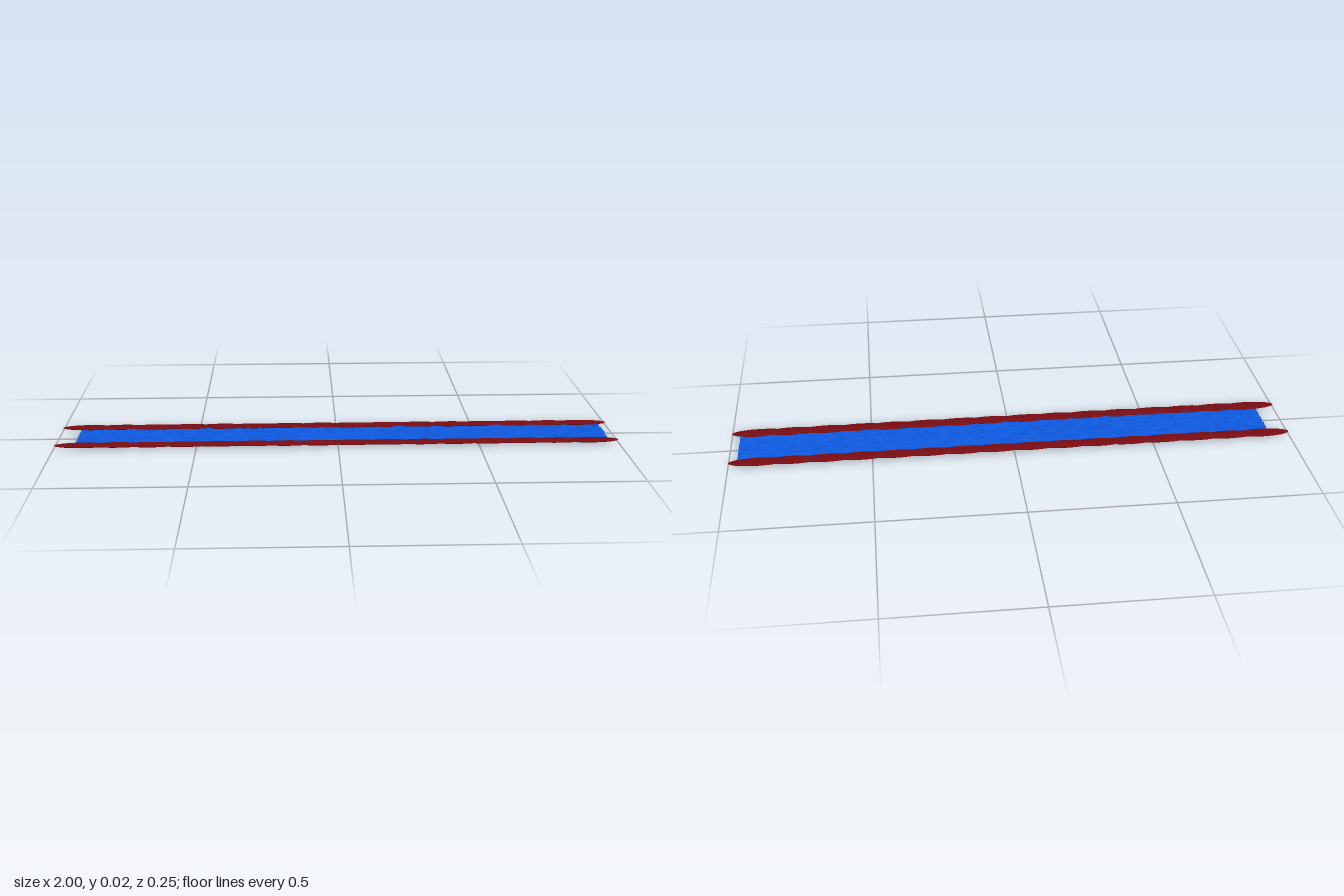
import * as THREE from 'three';

// Small seeded random generator
function seeded(seed) {
  let s = seed;
  return () => {
    s = (Math.imul(s, 1664525) + 1013904223) >>> 0;
    return s / 4294967296;
  };
}

// Thin choppy sheet of water, rippled lengthwise
function makeWater() {
  const random = seeded(7);
  const geometry = new THREE.PlaneGeometry(1.9, 0.2, 100, 64).rotateX(-Math.PI / 2);
  const position = geometry.attributes.position;
  for (let i = 0; i < position.count; i++) position.setY(i, 0.0125 * random());
  geometry.computeVertexNormals();
  const material = new THREE.MeshStandardMaterial({
    color: 0x0d59e0, flatShading: true, side: THREE.DoubleSide,
  });
  const water = new THREE.Mesh(geometry, material);
  water.name = 'water';
  water.position.x = 0.02;
  return water;
}

// Row of overlapping flattened mounds along one side
function makeBank(name, z, material) {
  const bank = new THREE.Group();
  bank.name = name;
  const geometry = new THREE.SphereGeometry(1, 24, 16);
  geometry.rotateZ(Math.PI / 2);
  const count = 16;
  for (let i = 0; i < count; i++) {
    const mound = new THREE.Mesh(geometry, material);
    mound.name = 'bankMound';
    mound.scale.set(0.1, 0.0058, 0.0255);
    mound.position.set(-0.9 + (1.8 * i) / (count - 1), 0.01, z);
    bank.add(mound);
  }
  return bank;
}

export function createModel() {
  const model = new THREE.Group();
  model.name = 'river';
  const earth = new THREE.MeshStandardMaterial({ color: 0x7a0c12 });
  model.add(
    makeWater(),
    makeBank('frontBank', 0.1, earth),
    makeBank('backBank', -0.1, earth),
  );
  return model;
}
